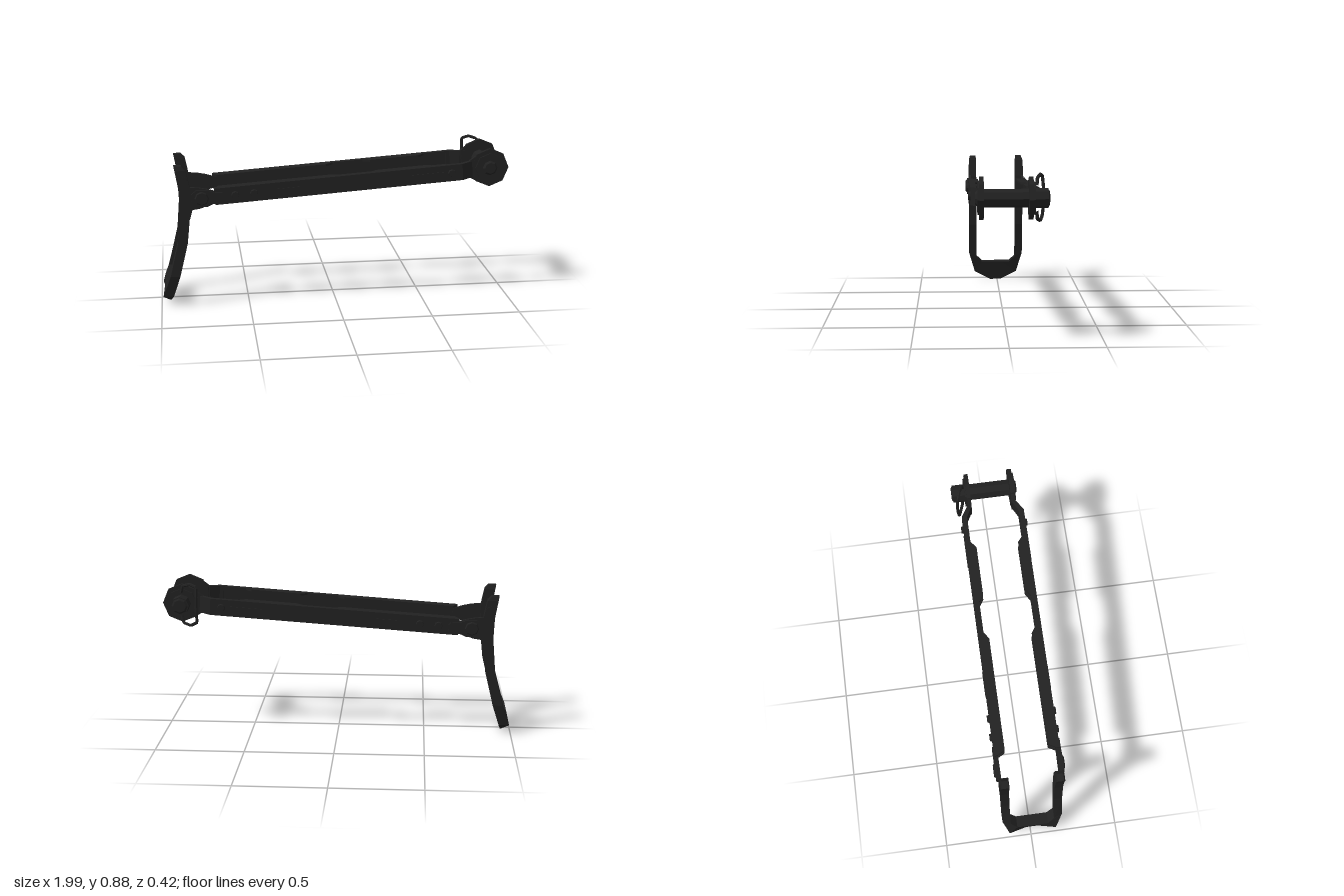
import * as THREE from 'three';

const CENTER_Z = 0.0115; // mid-plane between the two struts
const SLOPE = 0.069;     // struts climb gently towards the pivot
const axisY = (x) => 0.695 + SLOPE * x;

const steel = new THREE.MeshStandardMaterial({ color: 0x212121, flatShading: true });
steel.name = 'blackened steel';

function add(parent, name, geometry) {
  const mesh = new THREE.Mesh(geometry, steel);
  mesh.name = name;
  parent.add(mesh);
  return mesh;
}

const polygon = (points) => new THREE.Shape(points.map(([x, y]) => new THREE.Vector2(x, y)));

// Plate drawn in the x-y plane, between two distances from the mid-plane on side s
function sidePlate(points, near, far, s) {
  const g = new THREE.ExtrudeGeometry(polygon(points), { depth: far - near, bevelEnabled: false });
  return g.translate(0, 0, s > 0 ? near : -far);
}

// Plate drawn in the x-z plane on side s, between two heights
function flatPlate(points, low, high, s) {
  const g = new THREE.ExtrudeGeometry(polygon(points.map(([x, z]) => [x, z * s])),
    { depth: high - low, bevelEnabled: false });
  return g.rotateX(Math.PI / 2).translate(0, high, 0);
}

// Faceted disc whose axis runs along z, with an optional smaller outer end
function disc(x, y, r, near, far, s, sides = 8, rOuter = r) {
  const g = new THREE.CylinderGeometry(rOuter, r, far - near, sides);
  g.rotateX(s * Math.PI / 2);
  return g.translate(x, y, s * (near + far) / 2);
}

// Back and front x of the curved shoulder piece at a given height
const CURVE = [
  [0, -0.955, -0.945], [0.055, -0.99, -0.93], [0.07, -1, -0.925], [0.123, -0.975, -0.91],
  [0.19, -0.942, -0.888], [0.38, -0.897, -0.842], [0.58, -0.88, -0.82],
  [0.7, -0.885, -0.822], [0.8, -0.902, -0.842], [0.825, -0.907, -0.865],
];
function curveAt(y) {
  let i = 1;
  while (i < CURVE.length - 1 && y > CURVE[i][0]) i++;
  const [a, b] = [CURVE[i - 1], CURVE[i]];
  const t = (y - a[0]) / (b[0] - a[0]);
  return [a[1] + (b[1] - a[1]) * t, a[2] + (b[2] - a[2]) * t];
}

// U-shaped shoulder piece: a four-cornered section swept round the U
function shoulderGeometry() {
  // outer z, outer y, inner z, inner y
  const half = [
    [0.165, 0.825, 0.13, 0.825], [0.173, 0.8, 0.126, 0.8], [0.173, 0.7, 0.126, 0.7],
    [0.173, 0.58, 0.126, 0.58], [0.173, 0.38, 0.126, 0.38], [0.173, 0.185, 0.126, 0.16],
    [0.136, 0.055, 0.09, 0.123], [0.034, 0, 0.034, 0.123],
  ];
  const rows = [...half, ...half.map(([a, b, c, d]) => [-a, b, -c, d]).reverse()];
  const pos = [], index = [];
  for (const [oz, oy, iz, iy] of rows) {
    const [ob, of] = curveAt(oy), [ib, inf] = curveAt(iy);
    pos.push(ob, oy, oz, of, oy, oz, inf, iy, iz, ib, iy, iz);
  }
  for (let r = 0; r < rows.length - 1; r++) {
    for (let k = 0; k < 4; k++) {
      const a = r * 4 + k, b = r * 4 + (k + 1) % 4;
      index.push(a, a + 4, b, b, a + 4, b + 4);
    }
  }
  const e = (rows.length - 1) * 4;
  index.push(0, 1, 2, 0, 2, 3, e, e + 2, e + 1, e, e + 3, e + 2);
  const g = new THREE.BufferGeometry();
  g.setAttribute('position', new THREE.Float32BufferAttribute(pos, 3));
  g.setIndex(index);
  const flat = g.toNonIndexed();
  flat.computeVertexNormals();
  return flat;
}

function buildStrut(s) {
  const strut = new THREE.Group();
  strut.name = s > 0 ? 'frontStrut' : 'backStrut';

  // Inward-facing channel, tilted to the slope
  const channel = new THREE.Group();
  channel.name = 'channel';
  channel.position.y = 0.695;
  channel.rotation.z = Math.atan(SLOPE);
  strut.add(channel);
  const web = new THREE.BoxGeometry(1.41, 0.094, 0.014);
  add(channel, 'web', web.translate(0.02, 0, s * 0.173));
  const flange = [
    [-0.685, 0.18], [-0.685, 0.165], [-0.66, 0.12], [-0.02, 0.12], [0.02, 0.147], [0.2, 0.147],
    [0.24, 0.12], [0.53, 0.12], [0.565, 0.15], [0.725, 0.15], [0.725, 0.18],
  ];
  add(channel, 'topFlange', flatPlate(flange, 0.035, 0.047, s));
  add(channel, 'bottomFlange', flatPlate(flange, -0.047, -0.035, s));

  // Bend joining the channel to the pivot plate
  const bend = [[0.7, 0.18], [0.725, 0.18], [0.79, 0.138], [0.83, 0.138], [0.83, 0.115],
    [0.785, 0.115], [0.72, 0.15], [0.7, 0.15]];
  add(channel, 'bend', flatPlate(bend, -0.047, 0.047, s));

  // Pressed ribs and rivets
  for (const [x, length] of [[-0.27, 0.14], [0.525, 0.19]]) {
    const rib = new THREE.BoxGeometry(length, 0.018, 0.006);
    add(channel, 'pressedRib', rib.translate(x, 0.002, s * 0.181));
  }
  for (const x of [-0.57, -0.465, 0.66]) {
    add(strut, 'rivet', disc(x, axisY(x), 0.024, 0.175, 0.192, s, 8, 0.02));
  }

  // Octagonal pivot plate with its flared neck
  add(strut, 'pivotPlate', disc(0.89, 0.755, 0.11, 0.115, 0.138, s).rotateZ(0));
  add(strut, 'pivotNeck', sidePlate([[0.77, 0.702], [0.83, 0.67], [0.87, 0.67],
    [0.87, 0.84], [0.83, 0.84], [0.77, 0.795]], 0.117, 0.136, s));

  // Tongue from the shoulder piece and the clamp over it
  add(strut, 'hingeTongue', sidePlate([
    [-0.87, 0.77], [-0.84, 0.76], [-0.825, 0.705], [-0.77, 0.7], [-0.72, 0.69], [-0.66, 0.672],
    [-0.66, 0.615], [-0.71, 0.602], [-0.765, 0.582], [-0.81, 0.575], [-0.825, 0.52], [-0.87, 0.52],
  ], 0.16, 0.176, s));
  add(strut, 'hingeClamp', sidePlate([
    [-0.815, 0.625], [-0.815, 0.665], [-0.785, 0.69], [-0.73, 0.69], [-0.69, 0.675], [-0.64, 0.675],
    [-0.625, 0.66], [-0.625, 0.625], [-0.64, 0.61], [-0.69, 0.61], [-0.73, 0.592], [-0.785, 0.6],
  ], 0.17, 0.187, s));
  add(strut, 'hingeRivet', disc(-0.757, 0.642, 0.042, 0.185, 0.195, s, 8, 0.034));
  return strut;
}

export function createModel() {
  const model = new THREE.Group();
  model.name = 'foldingStock';
  const body = new THREE.Group();
  body.name = 'body';
  body.position.z = CENTER_Z;
  model.add(body);

  add(body, 'shoulderPiece', shoulderGeometry());
  for (const s of [1, -1]) body.add(buildStrut(s));

  // Pivot pin with a washer and cap in front and a long head behind
  const pin = new THREE.Group();
  pin.name = 'pivotPin';
  body.add(pin);
  add(pin, 'pinShaft', disc(0.89, 0.755, 0.048, -0.13, 0.13, 1));
  add(pin, 'frontWasher', disc(0.89, 0.755, 0.085, 0.136, 0.147, 1));
  add(pin, 'frontCap', disc(0.89, 0.755, 0.045, 0.145, 0.158, 1, 8, 0.032));
  add(pin, 'backWasher', disc(0.89, 0.755, 0.085, 0.136, 0.147, -1));
  add(pin, 'backHead', disc(0.89, 0.755, 0.052, 0.145, 0.215, -1));
  add(pin, 'backHeadTip', disc(0.89, 0.755, 0.046, 0.215, 0.222, -1, 8, 0.036));

  // Bent wire clip behind the pin head
  const clipPoints = [
    [0.89, 0.82, -0.155], [0.88, 0.86, -0.16], [0.835, 0.873, -0.178], [0.798, 0.858, -0.19],
    [0.8, 0.8, -0.196], [0.8, 0.71, -0.196], [0.798, 0.655, -0.19], [0.835, 0.633, -0.178],
    [0.88, 0.645, -0.16], [0.89, 0.69, -0.155],
  ].map((p) => new THREE.Vector3(...p));
  const clipPath = new THREE.CurvePath();
  for (let i = 1; i < clipPoints.length; i++) {
    clipPath.add(new THREE.LineCurve3(clipPoints[i - 1], clipPoints[i]));
  }
  add(body, 'wireClip', new THREE.TubeGeometry(clipPath, 48, 0.009, 6, false));

  return model;
}
